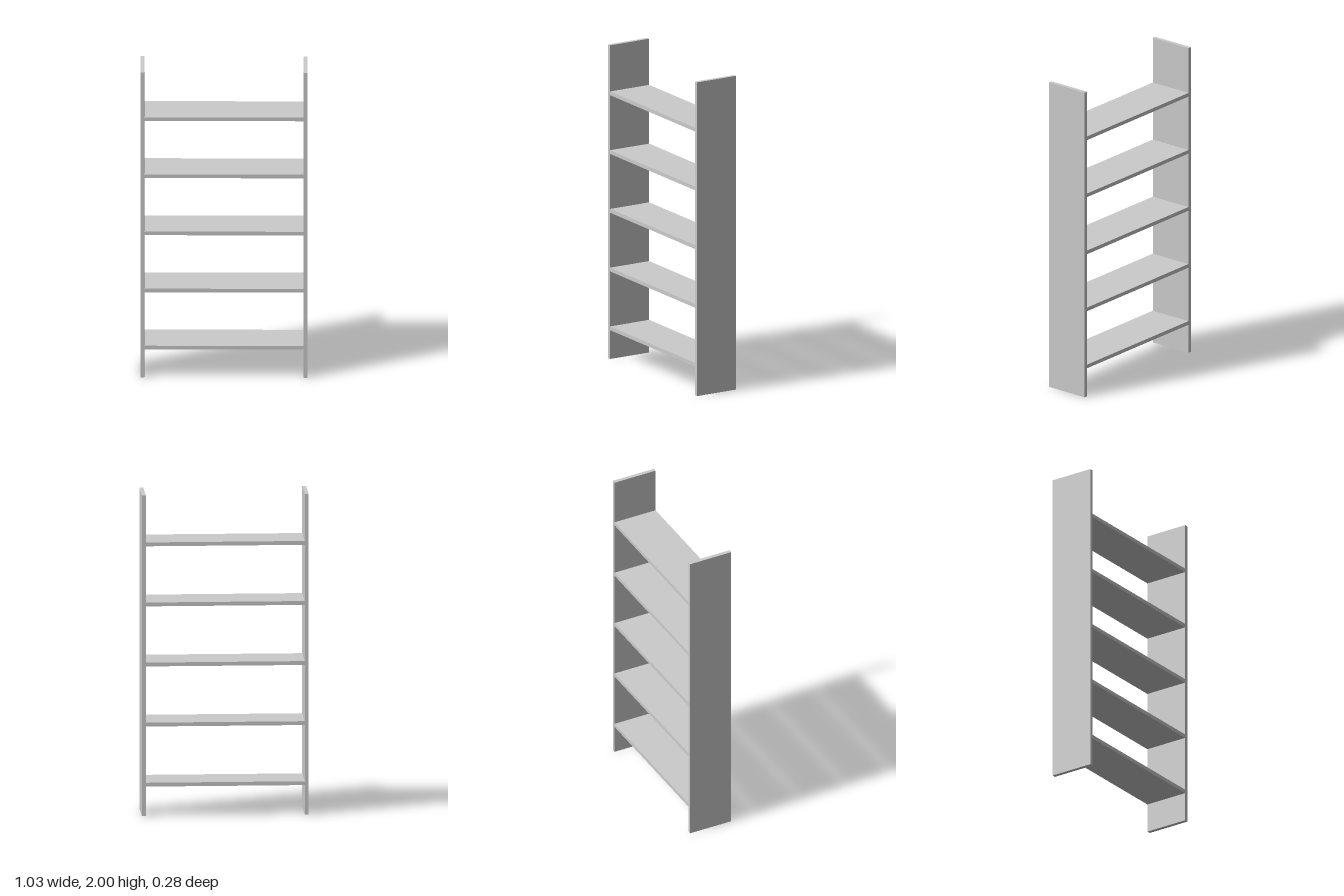
import * as THREE from 'three';

const HEIGHT = 2, DEPTH = 0.284, BOARD = 0.024, OUTER = 0.513;
const SHELVES = 5, FIRST_SHELF = 0.196, SHELF_STEP = 0.3745;

export function createModel() {
  const model = new THREE.Group();
  model.name = 'openShelf';
  const material = new THREE.MeshStandardMaterial({ color: 0xcccccc });

  function addBoard(name, width, height, x, y) {
    const board = new THREE.Mesh(new THREE.BoxGeometry(width, height, DEPTH), material);
    board.name = name;
    board.position.set(x, y, 0);
    model.add(board);
  }

  // Upright side panels
  for (const [name, side] of [['leftPanel', 1], ['rightPanel', -1]]) {
    addBoard(name, BOARD, HEIGHT, side * (OUTER - BOARD / 2), HEIGHT / 2);
  }

  // Evenly spaced shelves between the panels
  const shelfWidth = 2 * (OUTER - BOARD);
  for (let i = 0; i < SHELVES; i++) {
    addBoard(`shelf${i + 1}`, shelfWidth, BOARD, 0, FIRST_SHELF + i * SHELF_STEP);
  }

  return model;
}
